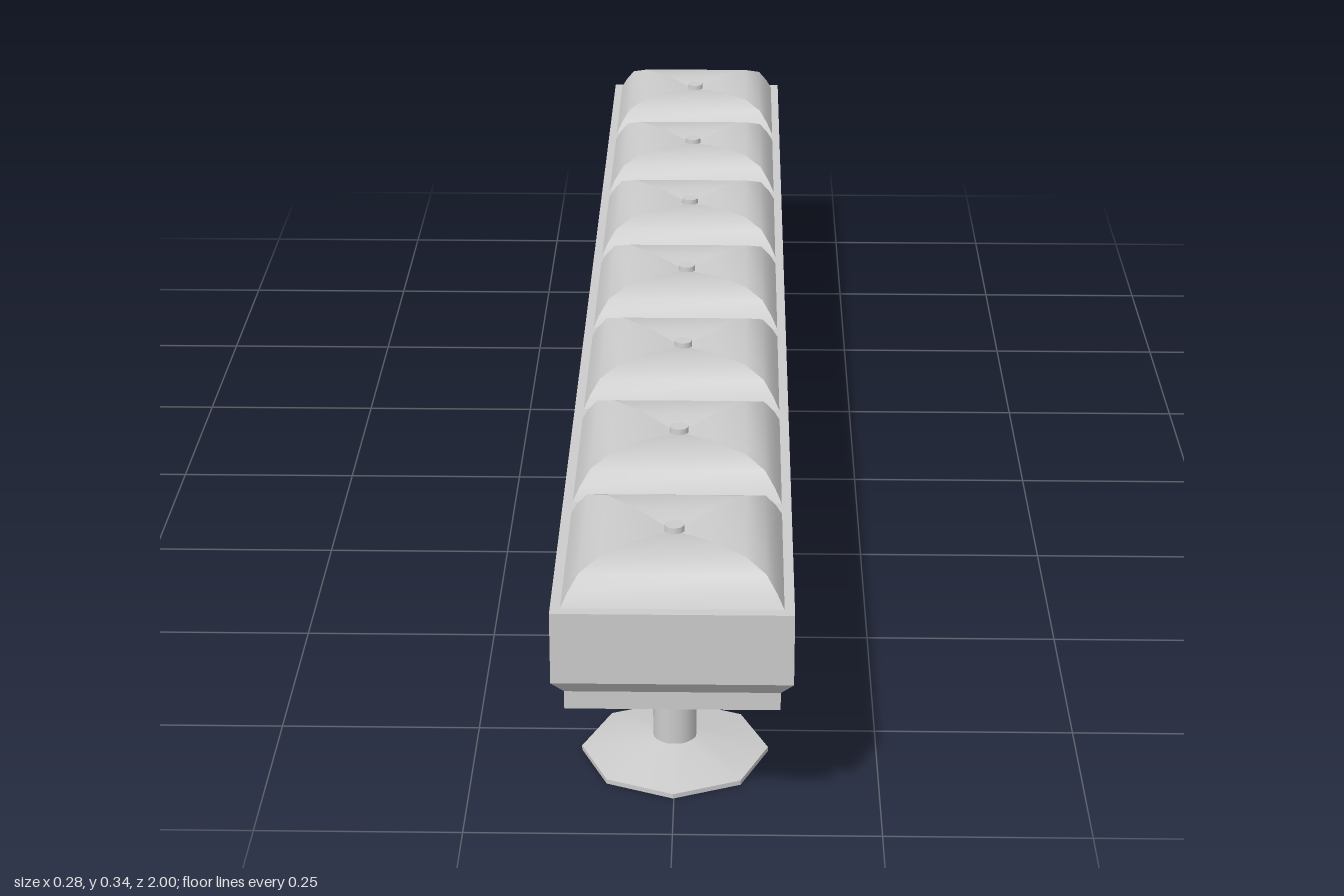
import * as THREE from 'three';

const smooth = new THREE.MeshStandardMaterial({ color: 0xcccccc, side: THREE.DoubleSide });
const flat = new THREE.MeshStandardMaterial({ color: 0xcccccc, side: THREE.DoubleSide, flatShading: true });

// Skin over rectangular rings [halfX, halfZ, y], bottom to top, with sharp mitred corners
function rectLoft(rings) {
  const positions = [], index = [];
  const corners = [[-1, 1], [1, 1], [1, -1], [-1, -1]];
  for (let s = 0; s < 4; s++) {
    const start = positions.length / 3;
    rings.forEach(([hx, hz, y], i) => {
      for (const [cx, cz] of [corners[s], corners[(s + 1) % 4]]) positions.push(cx * hx, y, cz * hz);
      if (i === 0) return;
      const a = start + (i - 1) * 2;
      index.push(a, a + 1, a + 3, a, a + 3, a + 2);
    });
  }
  const geometry = new THREE.BufferGeometry();
  geometry.setAttribute('position', new THREE.Float32BufferAttribute(positions, 3));
  geometry.setIndex(index);
  geometry.computeVertexNormals();
  return geometry;
}

function rectPath(path, hx, hz, cz = 0) {
  path.moveTo(-hx, cz - hz);
  path.lineTo(hx, cz - hz);
  path.lineTo(hx, cz + hz);
  path.lineTo(-hx, cz + hz);
  path.closePath();
  return path;
}

function addMesh(parent, name, geometry, material, x = 0, y = 0, z = 0) {
  const mesh = new THREE.Mesh(geometry, material);
  mesh.name = name;
  mesh.position.set(x, y, z);
  parent.add(mesh);
  return mesh;
}

export function createModel() {
  const bench = new THREE.Group();
  bench.name = 'bench';
  const count = 7, pitch = 0.286, padX = 0.13, padZ = 0.128, seatY = 0.294;
  const padCentres = Array.from({ length: count }, (_, i) => (i - (count - 1) / 2) * pitch);

  // Hollow frame, open below: lower band, chamfer, upper band
  addMesh(bench, 'frameSides', rectLoft([
    [0.127, 0.986, 0.162], [0.127, 0.986, 0.185], [0.142, 1, 0.203], [0.142, 1, seatY],
  ]), flat);

  // Top of the frame with an opening under each cushion
  const plate = rectPath(new THREE.Shape(), 0.142, 1);
  for (const z of padCentres) plate.holes.push(rectPath(new THREE.Path(), padX, padZ, z));
  addMesh(bench, 'frameTop', new THREE.ShapeGeometry(plate).rotateX(-Math.PI / 2), flat, 0, seatY, 0);

  // Domed cushions, dimpled at a central button
  const inset = [[0, 0.294], [0.008, 0.310], [0.021, 0.329], [0.045, 0.340], [0.085, 0.340], [0.116, 0.334], [0.1275, 0.333]];
  const cushion = rectLoft(inset.map(([d, y]) => [padX - d, padZ - d, y]));
  const button = new THREE.CylinderGeometry(0.012, 0.013, 0.01, 10);
  for (const z of padCentres) {
    addMesh(bench, 'cushion', cushion, smooth, 0, 0, z);
    addMesh(bench, 'button', button, smooth, 0, 0.336, z);
  }

  // Pedestal legs: open tube on a hollow octagonal foot
  const post = new THREE.CylinderGeometry(0.027, 0.027, 0.142, 20, 1, true);
  const rim = new THREE.CylinderGeometry(0.116, 0.116, 0.006, 8, 1, true);
  const cone = new THREE.CylinderGeometry(0.027, 0.116, 0.019, 8, 1, true);
  for (const z of [-0.802, 0.802]) {
    const leg = new THREE.Group();
    leg.name = 'leg';
    leg.position.set(-0.001, 0, z);
    addMesh(leg, 'post', post, smooth, 0, 0.093, 0);
    addMesh(leg, 'footRim', rim, flat, 0, 0.003, 0);
    addMesh(leg, 'footCone', cone, smooth, 0, 0.0155, 0);
    bench.add(leg);
  }
  return bench;
}
